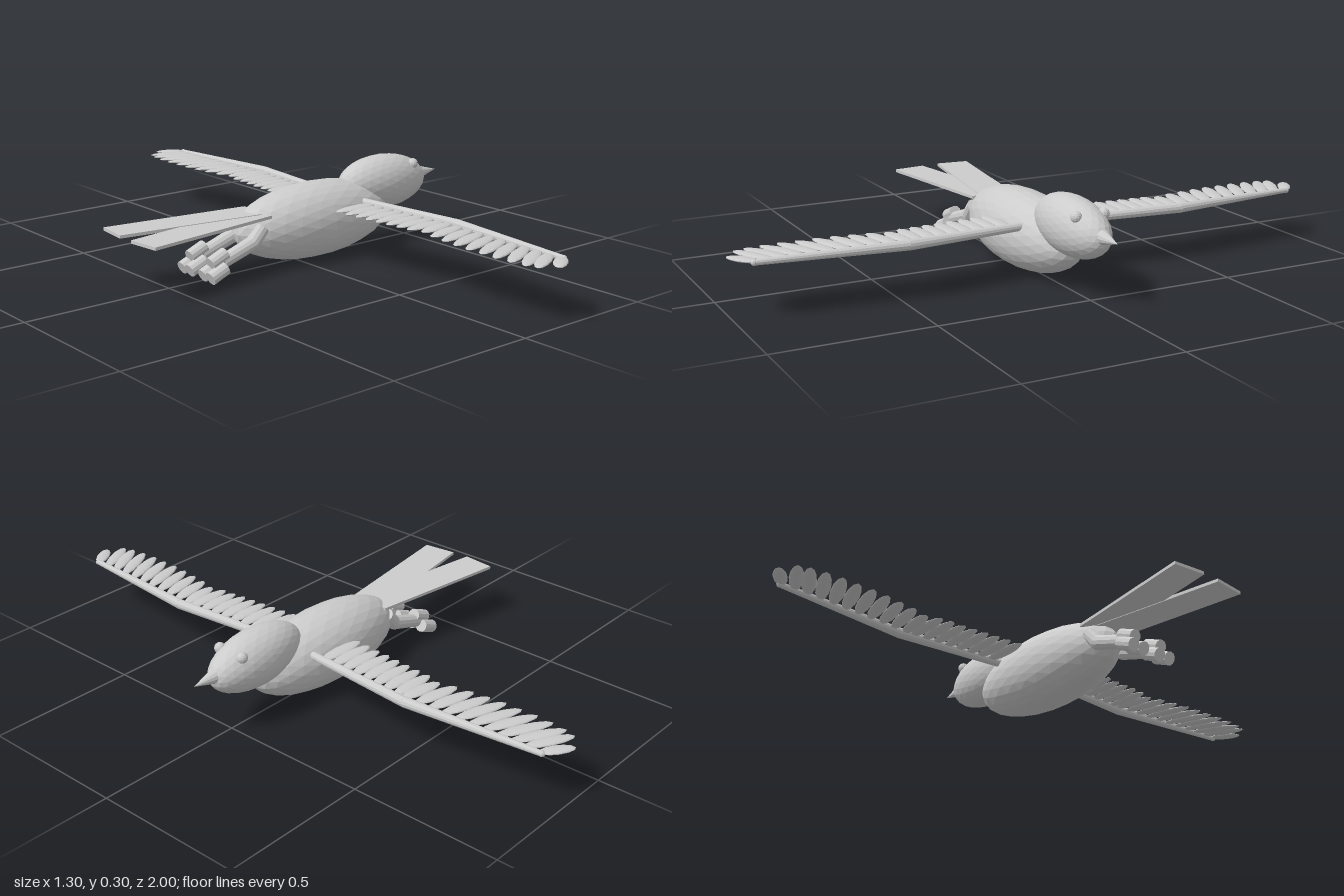
import * as THREE from 'three';

const mat = new THREE.MeshStandardMaterial({ color: 0xcccccc, flatShading: true, side: THREE.DoubleSide });
const Y = new THREE.Vector3(0, 1, 0);

function add(parent, name, geometry, x = 0, y = 0, z = 0) {
  const mesh = new THREE.Mesh(geometry, mat);
  mesh.name = name;
  mesh.position.set(x, y, z);
  parent.add(mesh);
  return mesh;
}

// Faceted ellipsoid with the given radii
const ellipsoid = (rx, ry, rz, detail) => new THREE.IcosahedronGeometry(1, detail).scale(rx, ry, rz);

// Tapered round limb between two points
function limb(parent, name, a, b, ra, rb, sides = 12) {
  const dir = b.clone().sub(a);
  const mesh = add(parent, name, new THREE.CylinderGeometry(rb, ra, dir.length(), sides));
  mesh.position.copy(a).add(b).multiplyScalar(0.5);
  mesh.quaternion.setFromUnitVectors(Y, dir.normalize());
  return mesh;
}

// Thin oval feather from its root to its tip, in the wing plane
function feather(parent, rootX, rootZ, tipX, tipZ, width) {
  const dx = tipX - rootX, dz = tipZ - rootZ;
  const geo = new THREE.SphereGeometry(1, 12, 8).scale(Math.hypot(dx, dz) / 2, 0.007, width / 2);
  const f = add(parent, 'feather', geo, (rootX + tipX) / 2, 0.178, (rootZ + tipZ) / 2);
  f.rotation.y = Math.atan2(-dz, dx);
}

function createWing(side) {
  const wing = new THREE.Group();
  wing.name = side > 0 ? 'wingNear' : 'wingFar';
  const at = (x, z) => new THREE.Vector3(x, 0.176, z * side);

  // Arm bones, slightly flattened
  const shoulder = at(0.222, 0.05), elbow = at(0.257, 0.48), tip = at(0.222, 0.94);
  limb(wing, 'upperArm', shoulder, elbow, 0.013, 0.017);
  limb(wing, 'forearm', elbow, tip, 0.017, 0.009);
  add(wing, 'elbow', new THREE.SphereGeometry(0.017, 12, 8), elbow.x, elbow.y, elbow.z);
  add(wing, 'wingTip', new THREE.SphereGeometry(0.01, 10, 8), tip.x, tip.y, tip.z);

  // Inner feathers, nearly straight back
  for (let i = 0; i < 8; i++) {
    const t = i / 7, z = 0.135 + 0.3 * t;
    feather(wing, 0.235 + 0.018 * t, z * side, 0.06 + 0.025 * t, (z + 0.005) * side, 0.048);
  }
  // Outer feathers, fanning from inward to outward
  const tips = [[0.1, 0.49], [0.085, 0.545], [0.077, 0.6], [0.07, 0.655], [0.065, 0.71], [0.065, 0.765],
    [0.063, 0.82], [0.066, 0.875], [0.073, 0.925], [0.085, 0.96], [0.135, 0.995]];
  tips.forEach(([x, z], i) => {
    const t = i / (tips.length - 1);
    feather(wing, 0.25 - 0.022 * t, (0.465 + 0.465 * t) * side, x, z * side, 0.05 - 0.006 * t);
  });
  return wing;
}

function createLeg(side) {
  const leg = new THREE.Group();
  leg.name = side > 0 ? 'legNear' : 'legFar';
  const z = 0.055 * side;
  const p = (x, y, dz = 0) => new THREE.Vector3(x, y, z + dz);
  limb(leg, 'thigh', p(-0.175, 0.15), p(-0.215, 0.107), 0.024, 0.024);
  add(leg, 'knee', new THREE.SphereGeometry(0.024, 12, 8), -0.215, 0.107, z);
  limb(leg, 'shin', p(-0.215, 0.107), p(-0.335, 0.068), 0.024, 0.022);

  // Three stubby toes: one above, two below
  for (const [h, dz] of [[0.021, 0], [-0.021, 0.021], [-0.021, -0.021]]) {
    const cx = -0.36 - h * 0.37, cy = 0.061 + h * 0.93;
    const cxUp = cx + h * 0.74;
    limb(leg, 'toe', p(cxUp + 0.029, cy + 0.012, dz), p(cxUp - 0.029, cy - 0.012, dz), 0.022, 0.022);
  }
  return leg;
}

// One splayed tail plate, as a thin extruded outline
function createTailFeather(parent, side) {
  const s = new THREE.Shape([[-0.15, 0.072], [-0.64, 0.141], [-0.652, 0.03], [-0.15, -0.047]]
    .map(([x, z]) => new THREE.Vector2(x, z * side)));
  const geo = new THREE.ExtrudeGeometry(s, { depth: 0.01, bevelEnabled: false }).rotateX(Math.PI / 2);
  add(parent, 'tailFeather', geo, 0, side > 0 ? 0.189 : 0.191, 0);
}

export function createModel() {
  const bird = new THREE.Group();
  bird.name = 'bird';

  // Body and head
  add(bird, 'body', ellipsoid(0.322, 0.126, 0.122, 4), 0.08, 0.127, 0);
  const head = add(bird, 'head', ellipsoid(0.188, 0.093, 0.083, 4), 0.388, 0.208, 0);
  head.rotation.z = -0.04;

  // Beak
  const beak = add(bird, 'beak', new THREE.ConeGeometry(0.024, 0.085, 12), 0.603, 0.212, 0);
  beak.rotation.z = -Math.PI / 2;

  for (const side of [1, -1]) {
    add(bird, 'eye', new THREE.SphereGeometry(0.018, 12, 8), 0.49, 0.262, 0.047 * side);
    bird.add(createWing(side), createLeg(side));
    createTailFeather(bird, side);
  }
  return bird;
}
